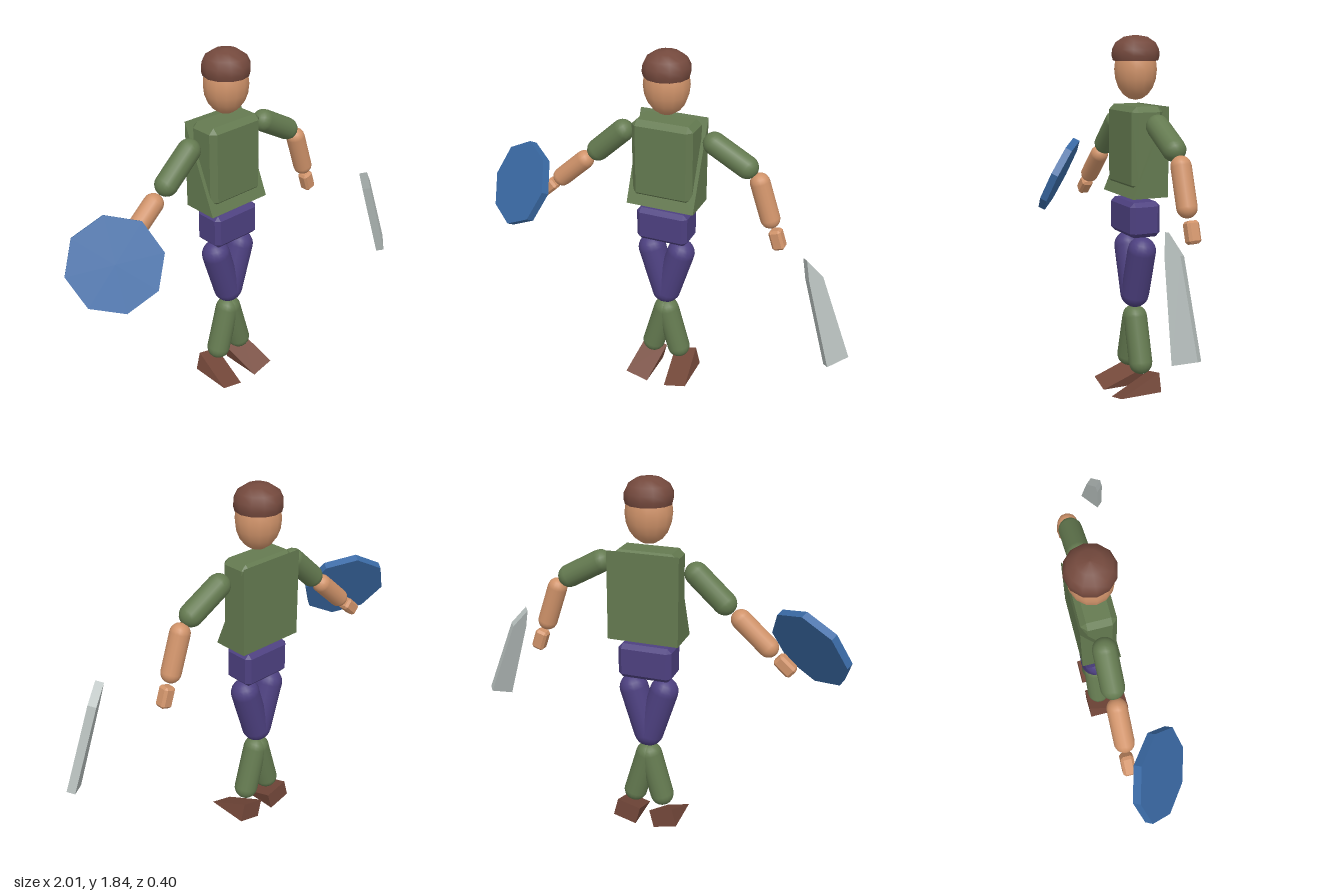
import * as THREE from 'three';
import { ConvexGeometry } from 'three/addons/geometries/ConvexGeometry.js';

const V = (x, y, z) => new THREE.Vector3(x, y, z);
const CX = -0.035, CZ = -0.085; // centre line of the body

const mat = (color, extra = {}) => new THREE.MeshStandardMaterial({ color, ...extra });
const green = mat(0x647a50), purple = mat(0x4d4080), skin = mat(0xd0936a);
const brown = mat(0x74483a), blue = mat(0x3a6aa5), steel = mat(0xb4bcba);
const capMat = mat(0x74493d, { side: THREE.DoubleSide });

export function createModel() {
  const model = new THREE.Group();
  model.name = 'warrior';

  const add = (name, geometry, material, x = 0, y = 0, z = 0, tilt = 0) => {
    const mesh = new THREE.Mesh(geometry, material);
    mesh.name = name;
    mesh.position.set(x, y, z);
    mesh.rotation.z = tilt;
    model.add(mesh);
    return mesh;
  };

  // Box with every edge cut at 45 degrees
  const chamferBox = (w, h, d, c) => {
    const points = [];
    for (const x of [-1, 1]) for (const y of [-1, 1]) for (const z of [-1, 1]) {
      for (let k = 0; k < 3; k++) {
        points.push(V(
          x * (w / 2 - (k === 0 ? 0 : c)),
          y * (h / 2 - (k === 1 ? 0 : c)),
          z * (d / 2 - (k === 2 ? 0 : c))));
      }
    }
    return new ConvexGeometry(points);
  };

  // Wedge: full height at the back, sharp edge at the front bottom
  const wedge = (w, h, d) => {
    const points = [];
    for (const x of [-w / 2, w / 2]) {
      points.push(V(x, -h / 2, -d / 2), V(x, h / 2, -d / 2), V(x, -h / 2, d / 2));
    }
    return new ConvexGeometry(points);
  };

  // Capsule between two points in the body plane
  const limb = (name, material, r, x0, y0, x1, y1) => {
    const a = V(x0, y0, CZ), b = V(x1, y1, CZ);
    const mesh = add(name, new THREE.CapsuleGeometry(r, a.distanceTo(b), 6, 16), material);
    mesh.position.copy(a).add(b).multiplyScalar(0.5);
    mesh.quaternion.setFromUnitVectors(V(0, 1, 0), a.sub(b).normalize());
  };

  // Head and cap
  const head = add('head', new THREE.SphereGeometry(1, 14, 10), skin, CX, 1.68, CZ);
  head.scale.set(0.115, 0.15, 0.106);
  const capProfile = [[0.112, 1.722], [0.118, 1.745], [0.117, 1.775], [0.1, 1.81], [0.058, 1.838], [0, 1.847]]
    .map(([x, y]) => new THREE.Vector2(x, y));
  add('cap', new THREE.LatheGeometry(capProfile, 12), capMat, CX, 0, CZ);

  // Torso, tunic wedge and pelvis
  add('chest', chamferBox(0.32, 0.41, 0.168, 0.027), green, CX, 1.3, CZ);
  add('tunic', wedge(0.358, 0.445, 0.19), green, CX, 1.282, CZ);
  add('pelvis', chamferBox(0.275, 0.178, 0.164, 0.022), purple, CX, 0.942, CZ);

  // Legs, knees together and feet apart
  for (const [side, s] of [['left', 1], ['right', -1]]) {
    limb(side + 'Thigh', purple, 0.073, CX + s * 0.08, 0.775, CX + s * 0.004, 0.535);
    limb(side + 'Shin', green, 0.061, CX + s * 0.008, 0.408, CX + s * 0.073, 0.18);
    add(side + 'Boot', wedge(0.127, 0.1, 0.226), brown, CX + s * 0.1, 0.073, -0.042, s * 0.25);
  }

  // Arms and hands
  limb('leftUpperArm', green, 0.057, 0.213, 1.418, 0.38, 1.325);
  limb('leftForearm', skin, 0.049, 0.449, 1.257, 0.51, 1.075);
  limb('rightUpperArm', green, 0.057, -0.272, 1.406, -0.413, 1.277);
  limb('rightForearm', skin, 0.049, -0.494, 1.207, -0.63, 1.085);
  const hand = chamferBox(0.064, 0.105, 0.062, 0.012);
  add('leftHand', hand, skin, 0.552, 0.968, CZ - 0.005, 0.32);
  add('rightHand', hand, skin, -0.716, 1.008, CZ - 0.005, -0.84);

  // Octagonal shield, tipped up and outward
  const n = V(-0.45, 0.45, 0.77).normalize();
  const u = V(1, 1, 0).normalize();
  const shield = add('shield', new THREE.CylinderGeometry(0.225, 0.225, 0.04, 8).toNonIndexed(), blue);
  shield.geometry.computeVertexNormals();
  shield.quaternion.setFromRotationMatrix(new THREE.Matrix4().makeBasis(u, n, u.clone().cross(n)));
  shield.position.set(-0.81, 1.063, 0.033);

  // Tapered blade with a slanted point
  const outline = new THREE.Shape([[-0.058, 0], [0.058, 0], [0.058, 0.44], [0.008, 0.55], [-0.013, 0.45]]
    .map(([x, y]) => new THREE.Vector2(x, y)));
  const bladeGeometry = new THREE.ExtrudeGeometry(outline, { depth: 0.042, bevelEnabled: false });
  bladeGeometry.translate(0, 0, -0.042);
  const blade = add('blade', bladeGeometry, steel, 0.955, 0.517, 0.162);
  const along = V(-0.36, 0.93, 0).normalize();
  const across = V(0.7, 0.27, -0.66).normalize();
  blade.quaternion.setFromRotationMatrix(
    new THREE.Matrix4().makeBasis(across, along, across.clone().cross(along)));

  return model;
}
